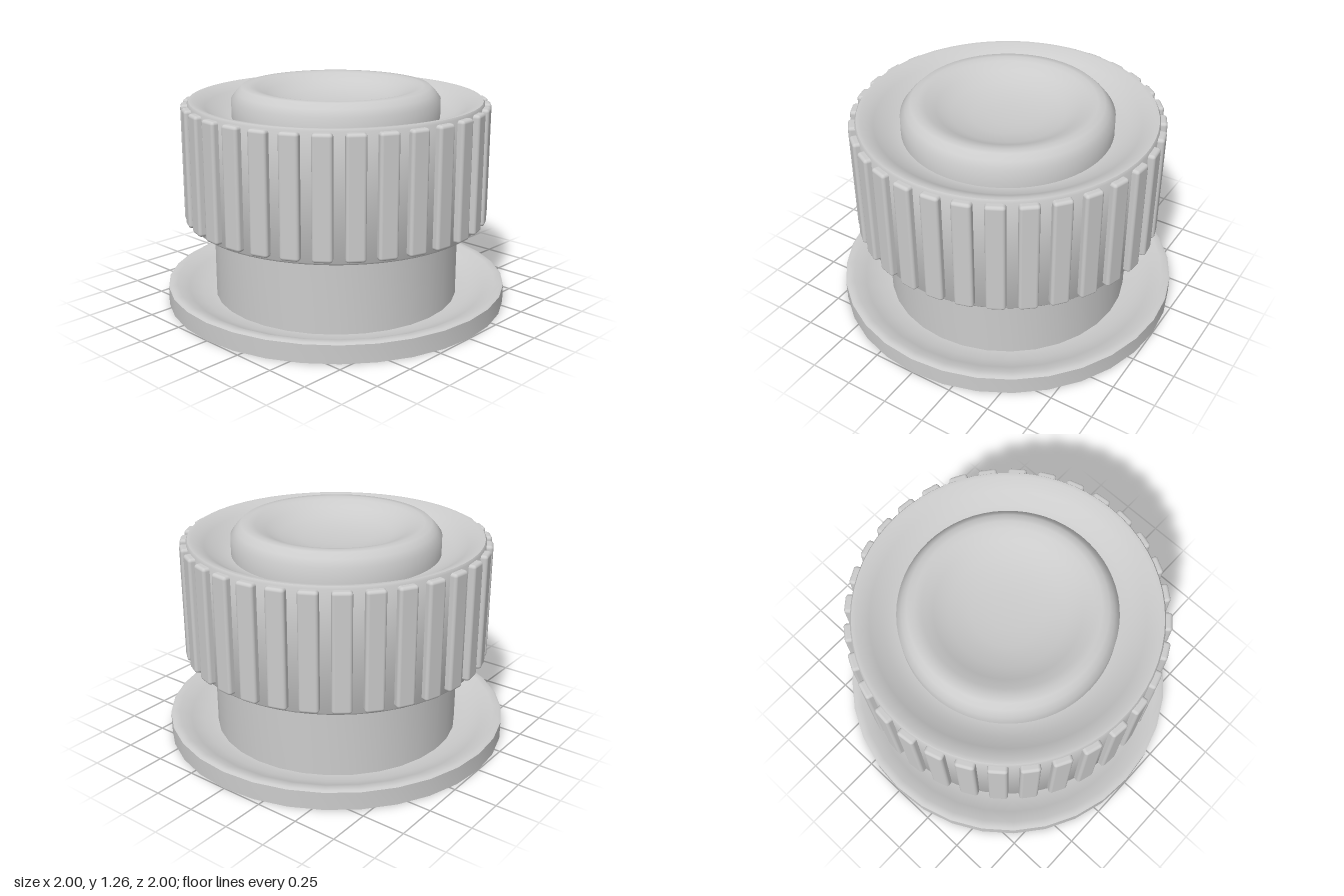
import * as THREE from 'three';
import { toCreasedNormals } from 'three/addons/utils/BufferGeometryUtils.js';
import { RoundedBoxGeometry } from 'three/addons/geometries/RoundedBoxGeometry.js';

const material = new THREE.MeshStandardMaterial({ color: 0xcccccc });

// Solid of revolution; profile runs from the bottom up along the outside.
function turned(name, profile, sides, crease) {
  const points = profile.map(([r, y]) => new THREE.Vector2(r, y));
  const geometry = toCreasedNormals(new THREE.LatheGeometry(points, sides), crease);
  const mesh = new THREE.Mesh(geometry, material);
  mesh.name = name;
  return mesh;
}

export function createModel() {
  const group = new THREE.Group();
  group.name = 'knob';

  // Base plate with a raised rim, dished toward the neck
  group.add(turned('basePlate', [
    [0, 0], [1, 0], [1, 0.105], [0.985, 0.112], [0.95, 0.112],
    [0.88, 0.075], [0.8, 0.045], [0.72, 0.035], [0.6, 0.035],
  ], 32, 0.7));

  // Neck between plate and cap
  group.add(turned('neck', [[0.72, 0.02], [0.72, 0.56]], 32, 0.7));

  // Cap: recessed underside, straight wall, sloping gutter inside the top rim
  group.add(turned('cap', [
    [0.7, 0.53], [0.78, 0.52], [0.81, 0.478], [0.84, 0.478], [0.85, 0.49],
    [0.85, 1.18], [0.842, 1.193], [0.82, 1.193],
    [0.75, 1.155], [0.68, 1.11], [0.6, 1.09], [0.55, 1.09],
  ], 64, 0.8));

  // Centre button with a bevelled lip and a shallow dish
  group.add(turned('button', [
    [0.6, 1.07], [0.6, 1.195], [0.57, 1.234], [0.54, 1.263], [0.5, 1.265],
    [0.46, 1.257], [0.4, 1.225], [0.32, 1.19], [0.2, 1.165], [0.1, 1.157], [0, 1.155],
  ], 64, 1.0));

  // Grip ribs around the cap
  const ribs = new THREE.Group();
  ribs.name = 'gripRibs';
  const count = 32;
  const ribGeometry = new RoundedBoxGeometry(0.108, 0.675, 0.08, 3, 0.018);
  for (let i = 0; i < count; i++) {
    const angle = ((i + 0.5) / count) * Math.PI * 2;
    const rib = new THREE.Mesh(ribGeometry, material);
    rib.name = 'gripRib';
    rib.position.set(Math.sin(angle) * 0.846, 0.838, Math.cos(angle) * 0.846);
    rib.rotation.y = angle;
    ribs.add(rib);
  }
  group.add(ribs);

  return group;
}
